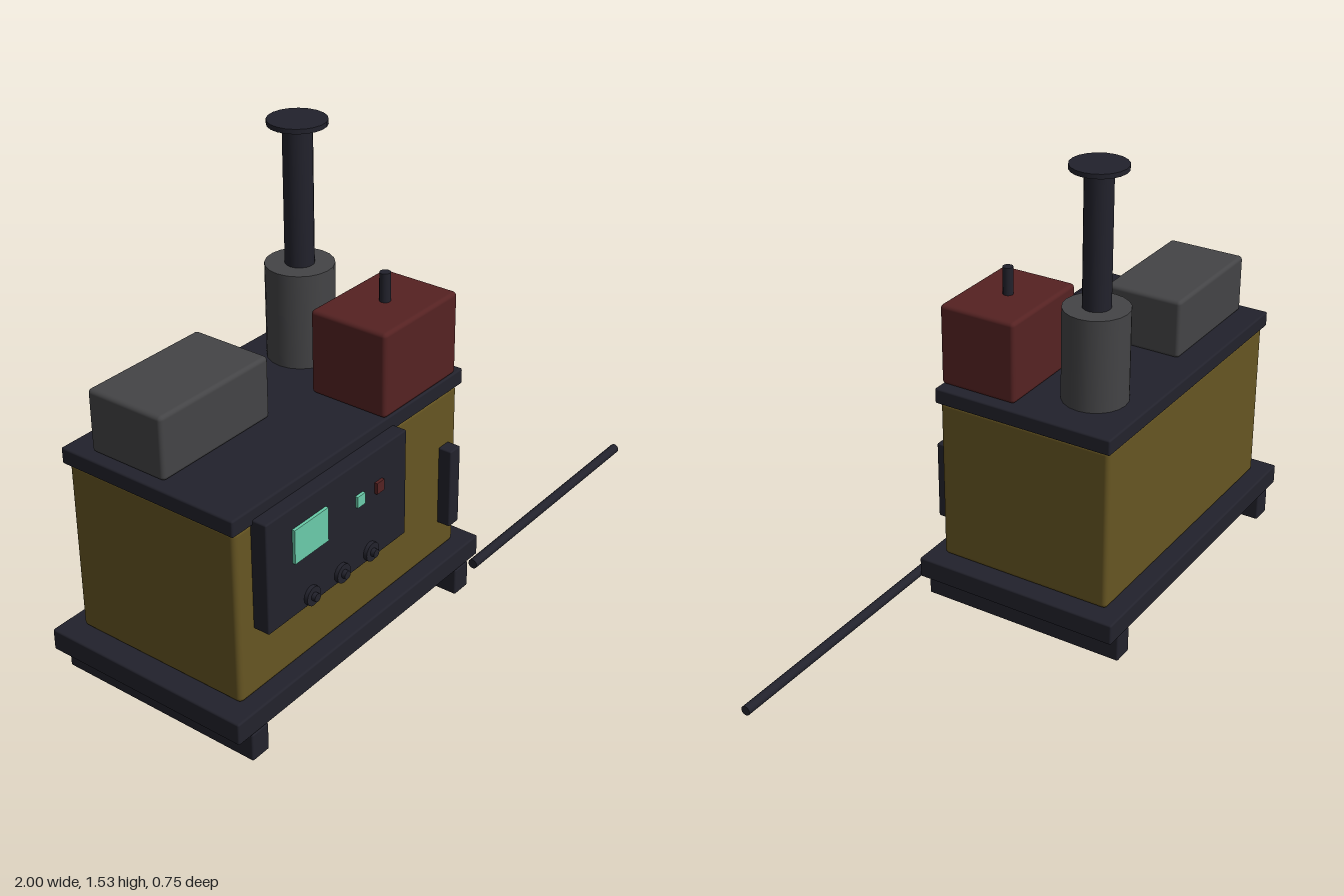
import * as THREE from 'three';
import { RoundedBoxGeometry } from 'three/addons/geometries/RoundedBoxGeometry.js';

function material(name, color) {
  const m = new THREE.MeshStandardMaterial({ color });
  m.name = name;
  return m;
}

export function createModel() {
  const group = new THREE.Group();
  const dark = material('dark steel', 0x22222c);
  const ochre = material('ochre paint', 0x665522);
  const grey = material('grey metal', 0x444446);
  const red = material('dark red paint', 0x552222);
  const green = material('display green', 0x6accaa);

  const add = (name, geometry, mat, x, y, z) => {
    const mesh = new THREE.Mesh(geometry, mat);
    mesh.name = name;
    mesh.position.set(x, y, z);
    group.add(mesh);
    return mesh;
  };

  // Box given by its extents; a radius rounds its edges
  const box = (name, mat, [x0, x1], [y0, y1], [z0, z1], radius = 0) => {
    const size = [x1 - x0, y1 - y0, z1 - z0];
    const geometry = radius
      ? new RoundedBoxGeometry(...size, 2, radius)
      : new THREE.BoxGeometry(...size);
    return add(name, geometry, mat, (x0 + x1) / 2, (y0 + y1) / 2, (z0 + z1) / 2);
  };

  // Upright cylinder between two heights
  const post = (name, mat, r, x, z, y0, y1, sides = 20) =>
    add(name, new THREE.CylinderGeometry(r, r, y1 - y0, sides), mat, x, (y0 + y1) / 2, z);

  // Cylinder along z between two depths
  const dial = (name, mat, r, x, y, z0, z1) => {
    const mesh = add(name, new THREE.CylinderGeometry(r, r, z1 - z0, 16), mat, x, y, (z0 + z1) / 2);
    mesh.rotation.x = Math.PI / 2;
  };

  // Base plate on two skids
  for (const x of [-0.91, 0.075]) {
    box('skid', dark, [x - 0.035, x + 0.035], [0, 0.092], [-0.375, 0.338], 0.006);
  }
  box('basePlate', dark, [-1, 0.16], [0.092, 0.163], [-0.377, 0.338], 0.006);

  // Cabinet and lid
  box('cabinet', ochre, [-0.93, 0.095], [0.163, 0.722], [-0.32, 0.287], 0.016);
  box('lid', dark, [-0.945, 0.11], [0.72, 0.772], [-0.33, 0.295], 0.006);

  // Control panel with display, lamps and knobs
  box('controlPanel', dark, [-0.866, -0.24], [0.385, 0.737], [0.285, 0.341], 0.005);
  box('display', green, [-0.76, -0.615], [0.562, 0.67], [0.341, 0.3505]);
  box('greenLamp', green, [-0.482, -0.448], [0.598, 0.634], [0.341, 0.3505]);
  box('redLamp', red, [-0.392, -0.358], [0.598, 0.634], [0.341, 0.3505]);
  for (const x of [-0.685, -0.55, -0.415]) {
    dial('knobFlange', dark, 0.03, x, 0.417, 0.335, 0.353);
    dial('knobStem', dark, 0.013, x, 0.417, 0.35, 0.366);
  }

  // Door handle
  box('doorHandle', dark, [0.005, 0.055], [0.272, 0.54], [0.285, 0.332], 0.005);

  // Boxes on the lid
  box('greyHousing', grey, [-0.91, -0.467], [0.772, 0.97], [-0.245, 0.025], 0.013);
  box('redTank', red, [-0.283, 0.073], [0.772, 1.042], [0.028, 0.295], 0.013);
  post('tankStem', dark, 0.017, -0.105, 0.162, 1.03, 1.133, 12);

  // Chimney: collar, pipe and rain cap
  post('chimneyCollar', grey, 0.106, -0.105, -0.153, 0.772, 1.077);
  post('chimneyPipe', dark, 0.045, -0.105, -0.153, 1.07, 1.515, 16);
  post('chimneyCap', dark, 0.09, -0.105, -0.153, 1.511, 1.526);

  // Long rod at the front skid
  const rod = add('rod', new THREE.CylinderGeometry(0.016, 0.016, 0.895, 12), dark, 0.5525, 0.091, 0.359);
  rod.rotation.z = Math.PI / 2;

  return group;
}
